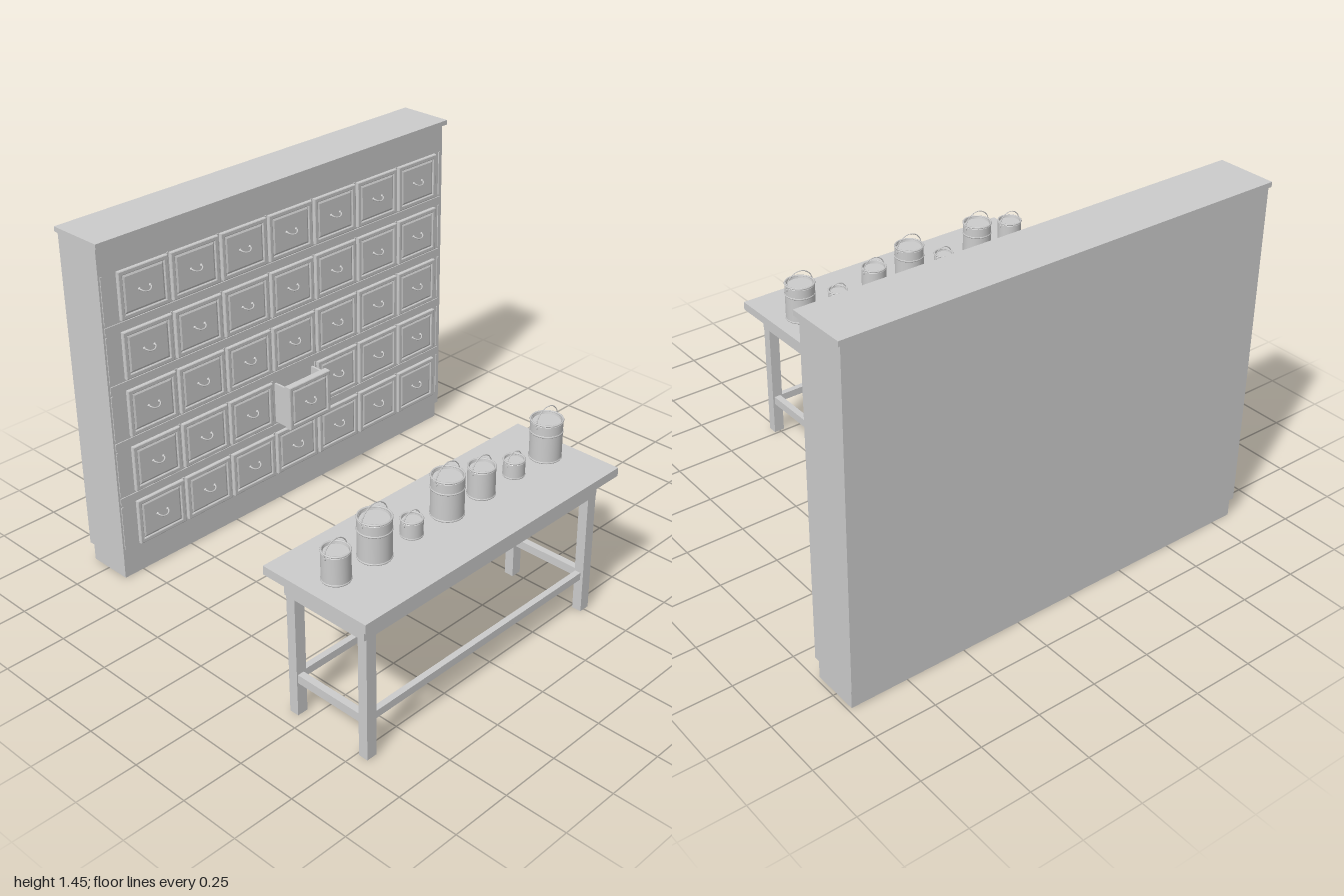
import * as THREE from 'three';

const mat = new THREE.MeshStandardMaterial({ color: 0xcccccc });
const openMat = new THREE.MeshStandardMaterial({ color: 0xcccccc, side: THREE.DoubleSide });

function add(parent, name, geometry, material = mat) {
  const mesh = new THREE.Mesh(geometry, material);
  mesh.name = name;
  parent.add(mesh);
  return mesh;
}

// Box given by its minimum and maximum on each axis
function box(parent, name, x0, x1, y0, y1, z0, z1) {
  const mesh = add(parent, name, new THREE.BoxGeometry(x1 - x0, y1 - y0, z1 - z0));
  mesh.position.set((x0 + x1) / 2, (y0 + y1) / 2, (z0 + z1) / 2);
  return mesh;
}

function group(parent, name) {
  const g = new THREE.Group();
  g.name = name;
  parent.add(g);
  return g;
}

function rect(w, h, Type = THREE.Shape) {
  const s = new Type();
  s.moveTo(-w / 2, -h / 2);
  s.lineTo(w / 2, -h / 2);
  s.lineTo(w / 2, h / 2);
  s.lineTo(-w / 2, h / 2);
  s.closePath();
  return s;
}

// Shared drawer geometries, modelled facing +z
const W = 0.231, H = 0.195;
const slabGeo = new THREE.BoxGeometry(W, H, 0.024);
const rimShape = rect(W - 0.006, H - 0.006);
rimShape.holes.push(rect(W - 0.03, H - 0.03, THREE.Path));
const rimGeo = new THREE.ExtrudeGeometry(rimShape, {
  depth: 0.005, bevelThickness: 0.002, bevelSize: 0.003, bevelSegments: 1,
});
const panelGeo = new THREE.ExtrudeGeometry(rect(W - 0.056, H - 0.056), {
  depth: 0.001, bevelThickness: 0.004, bevelSize: 0.008, bevelSegments: 1,
});
const pullCurve = new THREE.CatmullRomCurve3([
  [-0.025, 0.004, 0], [-0.024, 0.002, 0.01], [-0.013, -0.004, 0.019],
  [0, -0.006, 0.021], [0.013, -0.004, 0.019], [0.024, 0.002, 0.01], [0.025, 0.004, 0],
].map((p) => new THREE.Vector3(...p)));
const pullGeo = new THREE.TubeGeometry(pullCurve, 16, 0.003, 6);
const rosetteGeo = new THREE.SphereGeometry(0.006, 8, 6);

function drawer(parent, y, z, pull) {
  const g = group(parent, pull ? 'openDrawer' : 'drawer');
  g.position.set(-0.622 + pull, y, z);
  g.rotation.y = Math.PI / 2;
  add(g, 'drawerFront', slabGeo).position.z = -0.012;
  add(g, 'drawerRim', rimGeo);
  add(g, 'drawerPanel', panelGeo);
  add(g, 'drawerPull', pullGeo).position.z = 0.005;
  for (const s of [-1, 1]) add(g, 'pullMount', rosetteGeo).position.set(s * 0.025, 0.004, 0.006);
  if (pull) {
    // Open tray behind the front
    const w = W / 2 - 0.006, b = -H / 2 + 0.003, t = H / 2 - 0.012, back = -pull - 0.007;
    box(g, 'drawerBottom', -w, w, b, b + 0.01, back, -0.024);
    for (const s of [-1, 1]) {
      const x = s * (w - 0.005);
      box(g, 'drawerSide', x - 0.005, x + 0.005, b, t, back, -0.024);
    }
  }
}

function buildCabinet(root) {
  const g = group(root, 'cabinet');
  box(g, 'plinth', -0.84, -0.645, 0, 0.08, -0.985, 0.84);
  box(g, 'cabinetBody', -0.85, -0.63, 0.08, 1.43, -0.99, 0.85);
  box(g, 'cabinetTop', -0.855, -0.612, 1.43, 1.45, -1, 0.86);

  const rows = 5, cols = 7, y0 = 0.238, dy = 0.244, z0 = 0.655, dz = 0.2465;
  // Thin face frame between the drawers
  for (let r = 1; r < rows; r++) {
    const y = y0 + (r - 0.5) * dy;
    box(g, 'rail', -0.635, -0.626, y - 0.015, y + 0.015, -0.975, 0.842);
  }
  for (let r = 0; r < rows; r++) {
    const y = y0 + r * dy;
    for (let c = 1; c < cols; c++) {
      const z = z0 - (c - 0.5) * dz;
      box(g, 'muntin', -0.635, -0.626, y - 0.1, y + 0.1, z - 0.004, z + 0.004);
    }
    for (const z of [0.838, -0.971]) {
      box(g, 'edgeBead', -0.635, -0.626, y - 0.097, y + 0.097, z - 0.004, z + 0.004);
    }
    // Drawers, the middle one of the second row pulled out
    for (let c = 0; c < cols; c++) {
      drawer(g, y, z0 - c * dz, r === 1 && c === 3 ? 0.085 : 0);
    }
  }
}

function buildTable(root) {
  const g = group(root, 'table');
  box(g, 'tableTop', 0.37, 0.85, 0.585, 0.62, -0.335, 1);
  // Apron, open underneath
  for (const x of [0.422, 0.778]) box(g, 'longApron', x, x + 0.022, 0.505, 0.585, -0.278, 0.955);
  for (const z of [-0.278, 0.935]) box(g, 'endApron', 0.422, 0.8, 0.505, 0.585, z, z + 0.02);
  for (const x of [0.42, 0.76]) {
    for (const z of [-0.275, 0.9]) box(g, 'leg', x, x + 0.04, 0, 0.585, z, z + 0.045);
  }
  // Stretchers
  for (const x of [0.427, 0.763]) box(g, 'longStretcher', x, x + 0.025, 0.142, 0.173, -0.265, 0.94);
  for (const z of [-0.267, 0.912]) box(g, 'endStretcher', 0.432, 0.79, 0.14, 0.175, z, z + 0.028);
}

// Can with rolled rims, recessed lid and bail handle
function can(parent, z, r, h) {
  const g = group(parent, 'can');
  g.position.set(0.6, 0.62, z);
  const profile = [[0, 0], [r * 0.96, 0], [r * 0.96, h - 0.01], [r * 0.85, h - 0.004], [r * 0.82, h - 0.012], [0, h - 0.012]];
  // Each segment is its own lathe so the edges stay sharp
  for (let i = 0; i < profile.length - 1; i++) {
    const pts = [profile[i], profile[i + 1]].map((p) => new THREE.Vector2(...p));
    add(g, 'canBody', new THREE.LatheGeometry(pts, 32), openMat);
  }
  const rings = [0.004, h - 0.004];
  if (h > 0.15) rings.push(h - 0.05);
  for (const y of rings) {
    const ring = add(g, 'canRim', new THREE.TorusGeometry(r - 0.004, 0.004, 6, 32));
    ring.rotation.x = Math.PI / 2;
    ring.position.y = y;
  }
  const bail = add(g, 'canHandle', new THREE.TorusGeometry(r - 0.001, 0.002, 6, 24, Math.PI));
  bail.rotation.y = Math.PI / 2;
  bail.position.y = h - 0.016;
  for (const s of [-1, 1]) {
    const ear = add(g, 'handleEar', new THREE.CylinderGeometry(0.006, 0.006, 0.006, 10));
    ear.rotation.x = Math.PI / 2;
    ear.position.set(0, h - 0.018, s * (r - 0.001));
  }
}

export function createModel() {
  const root = new THREE.Group();
  root.name = 'drawerCabinetAndTable';
  buildCabinet(root);
  buildTable(root);

  // Row of cans in three sizes: radius, height
  const large = [0.064, 0.163], medium = [0.054, 0.12], small = [0.043, 0.07];
  const cans = group(root, 'cans');
  [medium, large, small, large, medium, small, large].forEach(([r, h], i) => {
    can(cans, 0.882 - i * 0.183, r, h);
  });
  return root;
}
